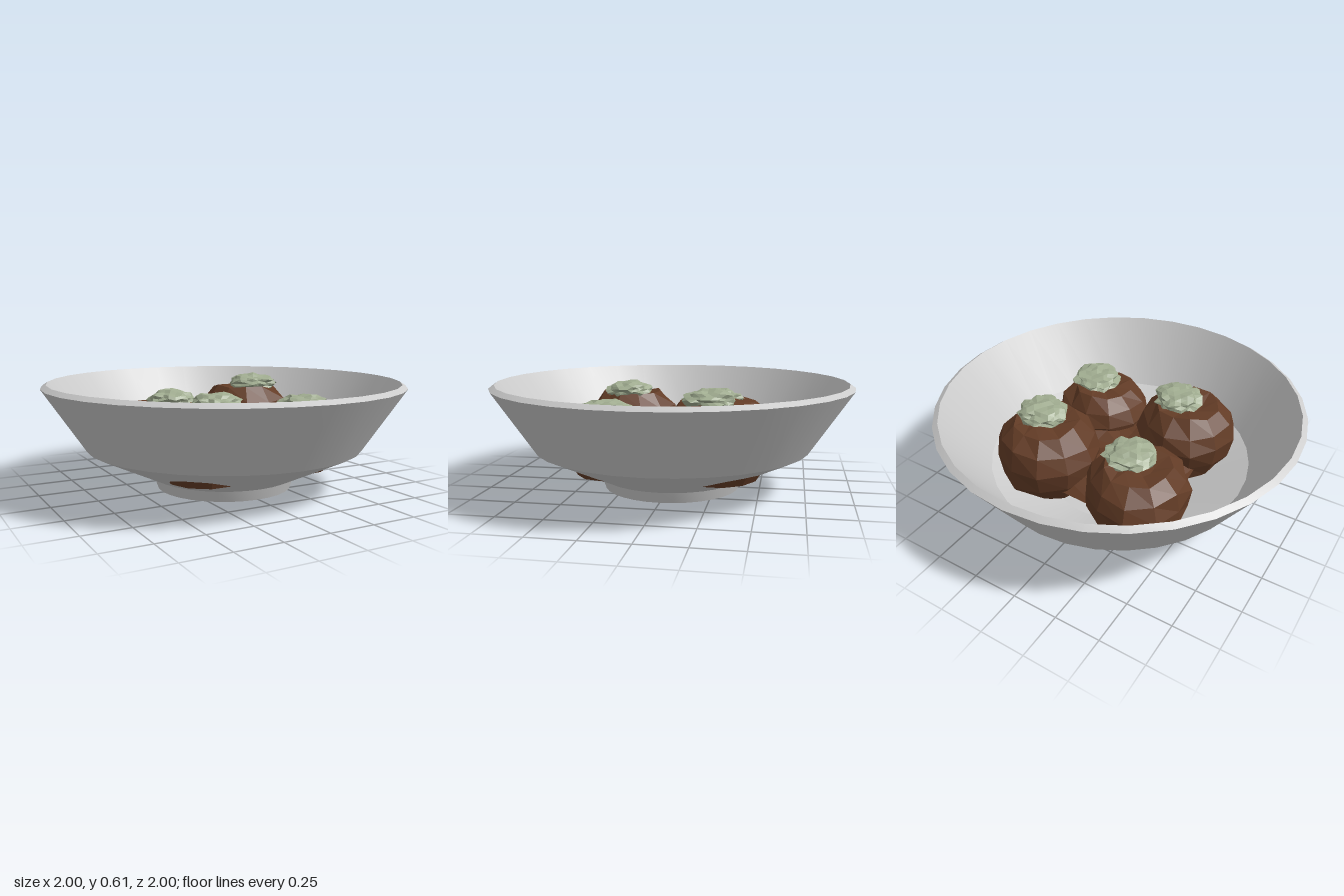
import * as THREE from 'three';
import { toCreasedNormals } from 'three/addons/utils/BufferGeometryUtils.js';

const paint = (color, flatShading = false) => new THREE.MeshStandardMaterial({ color, flatShading });
const points = list => list.map(([x, y]) => new THREE.Vector2(x, y));

// Repeatable value in -1..1 from a position, so shared corners move together
function hash(x, y, z, seed) {
  const [a, b, c] = [x, y, z].map(v => Math.round(v * 1000));
  const s = Math.sin(a * 12.99 + b * 78.23 + c * 37.72 + seed * 41.3) * 43758.5453;
  return (s - Math.floor(s)) * 2 - 1;
}

// Move every corner by the rule fn(vector)
function warp(geometry, fn) {
  const p = geometry.attributes.position;
  const v = new THREE.Vector3();
  for (let i = 0; i < p.count; i++) {
    fn(v.fromBufferAttribute(p, i));
    p.setXYZ(i, v.x, v.y, v.z);
  }
  geometry.computeVertexNormals();
  return geometry;
}

function createBowl() {
  const profile = points([
    [0, 0], [0.38, 0], [0.4, 0.06], [0.77, 0.235], [1, 0.58], // foot and outside
    [0.97, 0.6], [0.73, 0.245], [0.4, 0.09], [0, 0.09],       // rim and inside
  ]);
  const bowl = new THREE.Mesh(toCreasedNormals(new THREE.LatheGeometry(profile, 32), 0.4), paint(0xcccccc));
  bowl.name = 'bowl';
  return bowl;
}

// Lumpy low-poly bun with a flattened top
function createBun(radius, height, seed) {
  const profile = points([
    [0, 0], [0.72, 0], [0.93, 0.25], [1, 0.55], [0.9, 0.78], [0.62, 0.98], [0.3, 0.97], [0, 0.95],
  ].map(([x, y]) => [x * radius, y * height]));
  const geometry = warp(new THREE.LatheGeometry(profile, 11), v => {
    const { x, y, z } = v;
    const k = 1 + 0.05 * hash(x, y, z, seed);
    v.set(x * k, y + (y > 0.01 ? 0.014 * hash(x, y, z, seed + 5) : 0), z * k);
  });
  const bun = new THREE.Mesh(geometry, paint(0x633c26, true));
  bun.name = 'bun';
  return bun;
}

// Crumpled, flattened dollop
function createTopping(seed) {
  const geometry = warp(new THREE.IcosahedronGeometry(1, 3), v => {
    const { x, y, z } = v;
    const k = 1 + 0.16 * hash(x, y, z, seed);
    v.set(x * k * 0.132, y * k * 0.055, z * k * 0.132);
  });
  const topping = new THREE.Mesh(geometry, paint(0xa0ac90, true));
  topping.name = 'topping';
  return topping;
}

export function createModel() {
  const model = new THREE.Group();
  model.name = 'bowlOfBuns';
  model.add(createBowl());

  // Broad base beneath the four buns
  const base = createBun(0.45, 0.2, 9);
  base.name = 'bunBase';
  base.position.y = 0.1;
  model.add(base);

  // Bun x, z, radius, height and topping x, z
  const buns = [
    [-0.28, -0.285, 0.285, 0.34, -0.21, -0.25],
    [0.29, -0.28, 0.285, 0.41, 0.34, -0.25],
    [-0.27, 0.29, 0.28, 0.38, -0.21, 0.3],
    [0.28, 0.275, 0.265, 0.34, 0.34, 0.29],
  ];
  buns.forEach(([x, z, radius, height, tx, tz], i) => {
    const group = new THREE.Group();
    group.name = 'toppedBun';
    const bun = createBun(radius, height, i + 1);
    bun.position.set(x, 0.125, z);
    bun.rotation.y = i * 0.7;
    const topping = createTopping(i + 20);
    topping.position.set(tx, 0.135 + height, tz);
    group.add(bun, topping);
    model.add(group);
  });
  return model;
}
